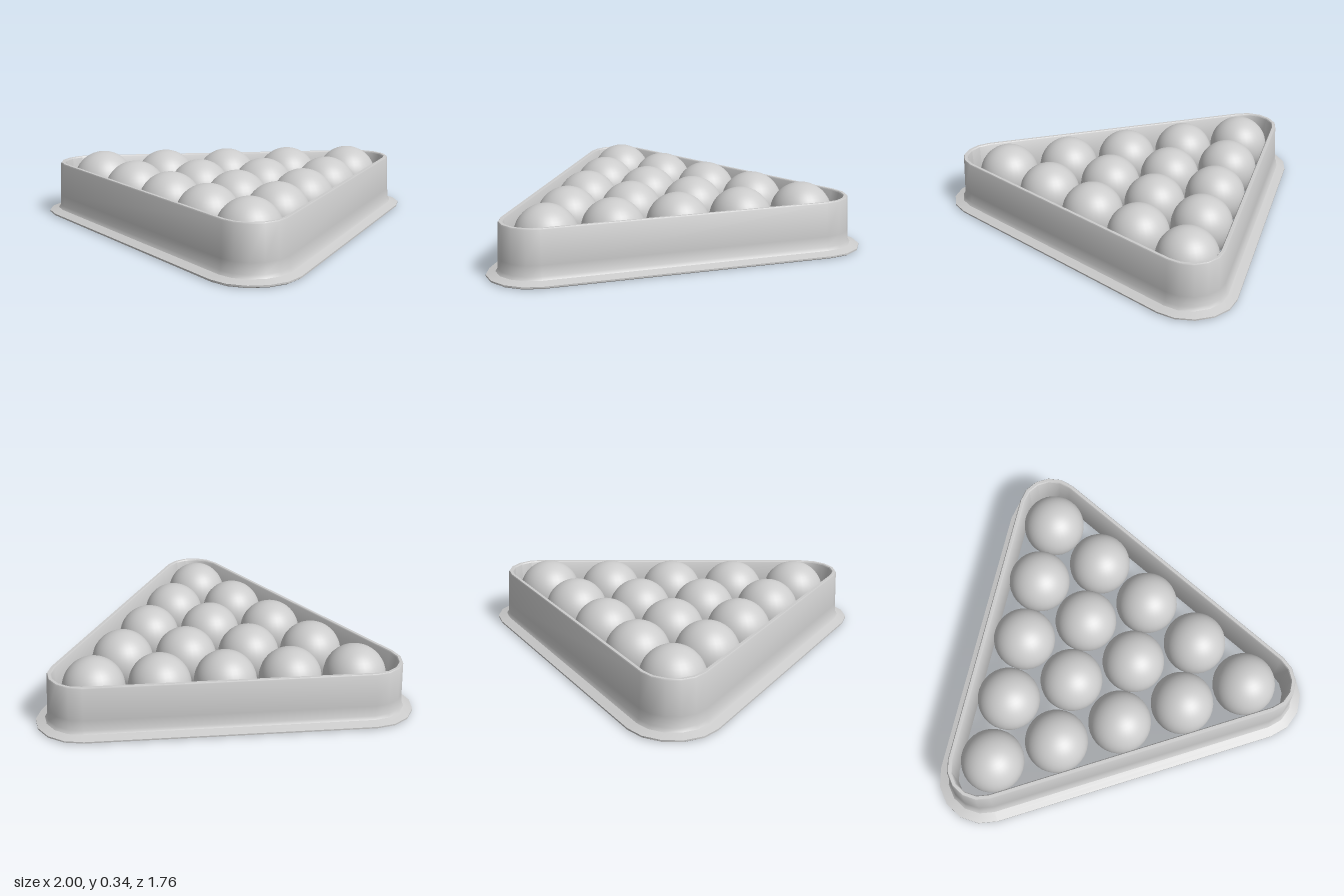
import * as THREE from 'three';
import { toCreasedNormals } from 'three/addons/utils/BufferGeometryUtils.js';

const material = new THREE.MeshStandardMaterial({ color: 0xcccccc });

// Corner arc centres (x, z) with the angle at which each 120 degree arc starts
const CORNERS = [[0.76, 0.64, -30], [-0.76, 0.64, 90], [0, -0.645, 210]];
const ARC_STEPS = 5;

// Closed wall section: [offset from corner centre, height]
const SECTION = [
  [0.24, 0.006], [0.24, 0.014], [0.215, 0.021], [0.192, 0.028], [0.181, 0.045],
  [0.178, 0.1], [0.172, 0.275], [0.168, 0.281], [0.153, 0.281], [0.148, 0.275],
  [0.135, 0.05], [0.145, 0.03], [0.17, 0.012], [0.205, 0.002], [0.23, 0],
];

// Sweeps the section around a rounded triangle
function rackGeometry() {
  const positions = [];
  const index = [];
  for (const [cx, cz, start] of CORNERS) {
    for (let i = 0; i <= ARC_STEPS; i++) {
      const a = THREE.MathUtils.degToRad(start + (120 * i) / ARC_STEPS);
      for (const [r, y] of SECTION) {
        positions.push(cx + r * Math.cos(a), y, cz + r * Math.sin(a));
      }
    }
  }
  const n = SECTION.length;
  const rings = CORNERS.length * (ARC_STEPS + 1);
  for (let i = 0; i < rings; i++) {
    for (let j = 0; j < n; j++) {
      const a = i * n + j;
      const b = i * n + ((j + 1) % n);
      const c = ((i + 1) % rings) * n + j;
      const d = ((i + 1) % rings) * n + ((j + 1) % n);
      index.push(a, b, c, b, d, c);
    }
  }
  const geometry = new THREE.BufferGeometry();
  geometry.setAttribute('position', new THREE.Float32BufferAttribute(positions, 3));
  geometry.setIndex(index);
  return toCreasedNormals(geometry, 0.7);
}

export function createModel() {
  const model = new THREE.Group();
  model.name = 'rackedBalls';

  // Triangular frame with a flared foot
  const rack = new THREE.Mesh(rackGeometry(), material);
  rack.name = 'triangleRack';
  model.add(rack);

  // Five rows of balls, one at the back to five at the front
  const balls = new THREE.Group();
  balls.name = 'balls';
  const ballGeometry = new THREE.SphereGeometry(0.164, 32, 24);
  for (let row = 0; row < 5; row++) {
    for (let i = 0; i <= row; i++) {
      const ball = new THREE.Mesh(ballGeometry, material);
      ball.name = `ballRow${row + 1}Number${i + 1}`;
      ball.position.set((i - row / 2) * 0.344 - 0.006, 0.177, -0.573 + row * 0.294);
      balls.add(ball);
    }
  }
  model.add(balls);
  return model;
}
